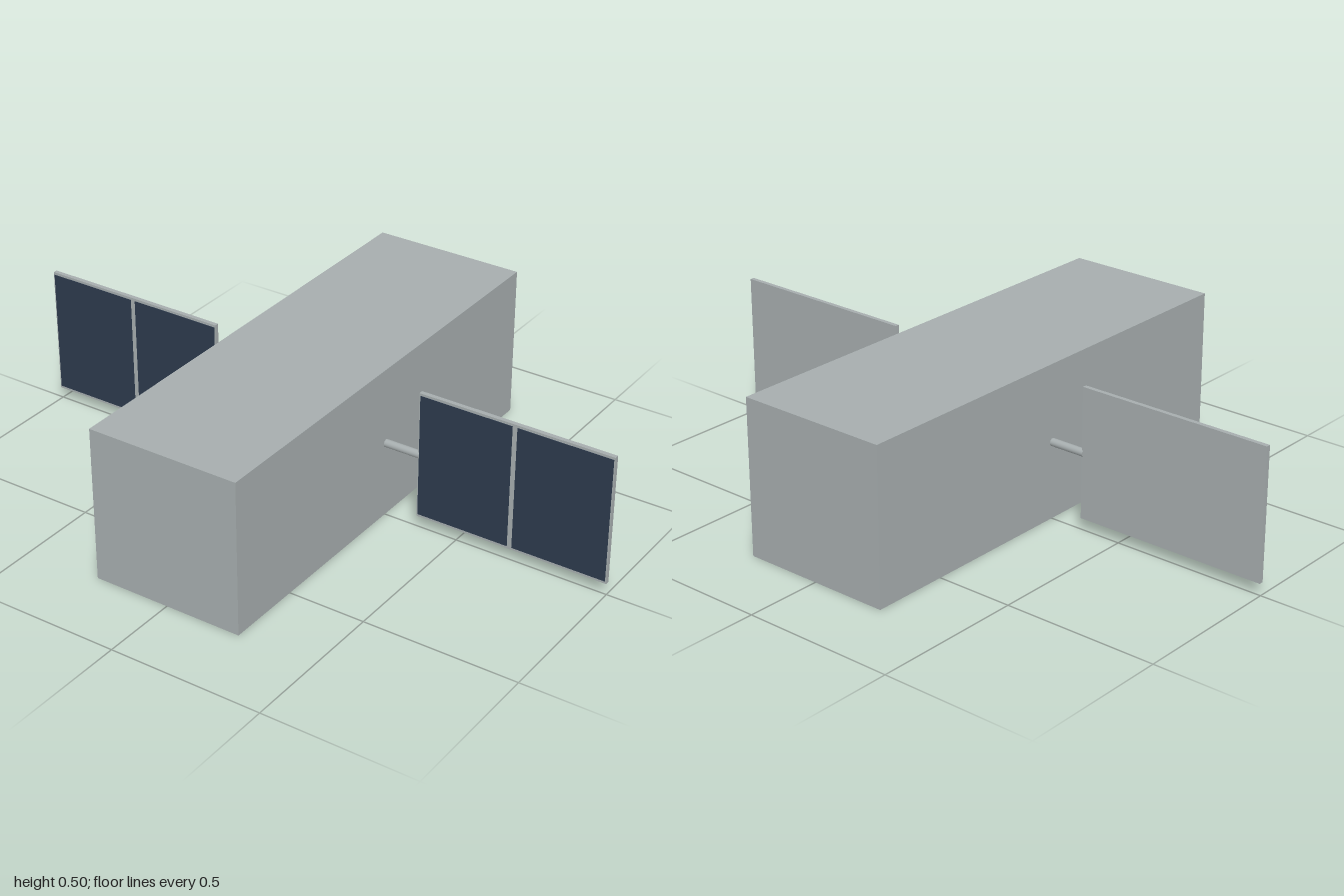
import * as THREE from 'three';

export function createModel() {
  const model = new THREE.Group();
  model.name = 'satellite';
  const grey = new THREE.MeshStandardMaterial({ name: 'light grey metal', color: 0xa6adae });
  const navy = new THREE.MeshStandardMaterial({ name: 'navy solar cell', color: 0x2c3a4d });

  const centreY = 0.25;
  const add = (parent, name, geometry, material, x, y, z) => {
    const mesh = new THREE.Mesh(geometry, material);
    mesh.name = name;
    mesh.position.set(x, y, z);
    parent.add(mesh);
    return mesh;
  };

  // Long square body
  add(model, 'body', new THREE.BoxGeometry(0.5, 0.5, 1.5), grey, 0, centreY, 0);

  // Panel dimensions
  const inner = 0.365, outer = 1, height = 0.42, depth = 0.014;
  const width = outer - inner, middle = (inner + outer) / 2;
  const divider = 0.016, edge = 0.004, rim = 0.008;
  const cellWidth = (width - divider) / 2 - edge;

  for (const side of [1, -1]) {
    const wing = new THREE.Group();
    wing.name = side > 0 ? 'leftWing' : 'rightWing';
    model.add(wing);

    // Round strut from the body to the panel
    const strut = add(wing, 'strut', new THREE.CylinderGeometry(0.0125, 0.0125, 0.125, 16), grey,
      side * 0.3075, centreY, 0);
    strut.rotation.z = Math.PI / 2;

    // Backing panel with two thin cells on the front
    add(wing, 'panel', new THREE.BoxGeometry(width, height, depth), grey, side * middle, centreY, 0);
    for (const half of [-1, 1]) {
      const x = side * middle + half * (divider + cellWidth) / 2;
      add(wing, 'solarCell', new THREE.BoxGeometry(cellWidth, height - 2 * rim, 0.003), navy,
        x, centreY, depth / 2);
    }
  }
  return model;
}
